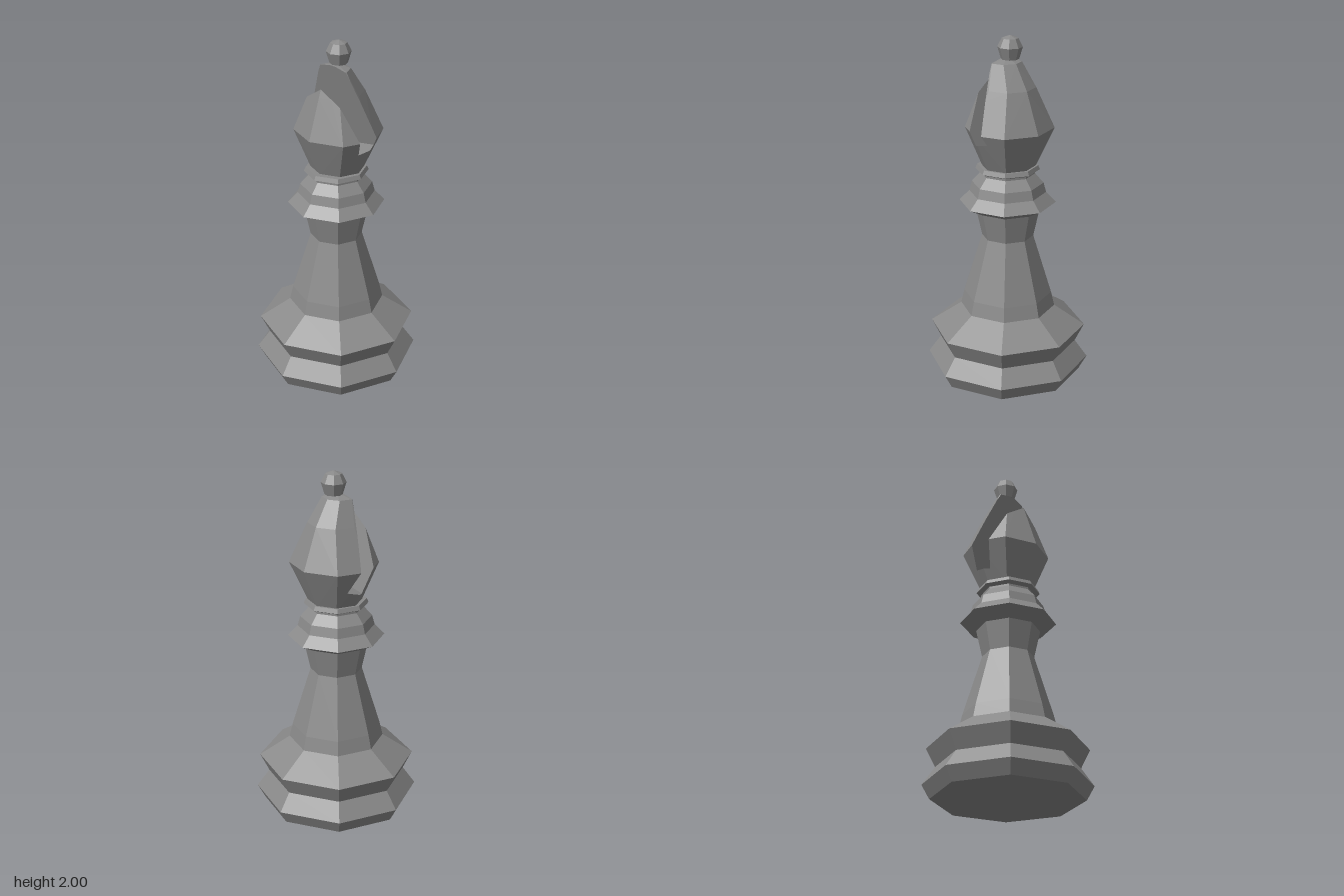
import * as THREE from 'three';
import { ConvexGeometry } from 'three/addons/geometries/ConvexGeometry.js';

const material = new THREE.MeshStandardMaterial({ color: 0x898989, flatShading: true });

function addMesh(group, name, geometry) {
  const mesh = new THREE.Mesh(geometry, material);
  mesh.name = name;
  group.add(mesh);
  return mesh;
}

// Eight-sided turned part from [radius, height] pairs
function turned(profile) {
  return new THREE.LatheGeometry(profile.map(([r, y]) => new THREE.Vector2(r, y)), 8);
}

// Corner points of the convex head: octagonal rings [x radius, z radius, height, centre z]
function headPoints(shoulderZ, topZ) {
  const rings = [
    [0.152, 0.145, 1.25, -0.01], [0.259, 0.239, 1.48, -0.018],
    [0.149, 0.145, 1.71, shoulderZ], [0.094, 0.093, 1.847, topZ],
  ];
  const points = [new THREE.Vector3(0, 1.872, topZ - 0.02)];
  for (const [rx, rz, y, z] of rings) {
    for (let i = 0; i < 8; i++) {
      const a = (i * Math.PI) / 4;
      points.push(new THREE.Vector3(rx * Math.sin(a), y, z + rz * Math.cos(a)));
    }
  }
  return points;
}

// Corner points of a convex solid's part on the positive side of a plane
function clip(points, plane) {
  const result = points.filter((p) => plane.distanceToPoint(p) >= 0);
  for (let i = 0; i < points.length; i++) {
    for (let j = 0; j < i; j++) {
      const a = plane.distanceToPoint(points[i]);
      const b = plane.distanceToPoint(points[j]);
      if (a * b < 0) result.push(points[i].clone().lerp(points[j], a / (a - b)));
    }
  }
  // Keep only the corners of the hull
  const pos = new ConvexGeometry(result).getAttribute('position');
  const unique = new Map();
  for (let i = 0; i < pos.count; i++) {
    const p = new THREE.Vector3().fromBufferAttribute(pos, i);
    unique.set(p.toArray().map((v) => v.toFixed(5)).join(), p);
  }
  return [...unique.values()];
}

function planeOf(x, y, z, through) {
  return new THREE.Plane().setFromNormalAndCoplanarPoint(
    new THREE.Vector3(x, y, z).normalize(), new THREE.Vector3(...through));
}

export function createModel() {
  const group = new THREE.Group();
  group.name = 'chessBishop';

  // Stepped foot
  addMesh(group, 'base', turned([
    [0, 0], [0.423, 0], [0.467, 0.08], [0.396, 0.18], [0.448, 0.285], [0.272, 0.403], [0, 0.403],
  ]));

  // Tapering column
  addMesh(group, 'stem', turned([
    [0.272, 0.403], [0.253, 0.485], [0.147, 0.835], [0.182, 0.995],
  ]));

  // Flared collar and neck rings
  addMesh(group, 'collar', turned([
    [0.182, 0.995], [0.274, 1.042], [0.218, 1.1], [0.203, 1.155], [0.155, 1.21],
    [0.155, 1.222], [0.182, 1.234], [0.172, 1.258], [0, 1.262],
  ]));

  // Head split by a slanted slot: back part, front lip and the floor between
  const frontCut = planeOf(0, -0.233, 0.972, [0, 1.4, 0.04]);
  const rearCut = planeOf(0, 0.233, -0.972, [0, 1.425, -0.073]);
  const floorCut = planeOf(0.2, -0.972, -0.233, [0.21, 1.4, 0.04]);
  const head = new THREE.Group();
  head.name = 'head';
  group.add(head);
  const leaning = headPoints(-0.016, 0.022);
  const upright = headPoints(-0.004, 0);
  addMesh(head, 'headBack', new ConvexGeometry(clip(leaning, rearCut)));
  addMesh(head, 'headFront', new ConvexGeometry(clip(upright, frontCut)));
  const middle = [floorCut, frontCut.clone().negate(), rearCut.clone().negate()].reduce(clip, upright);
  addMesh(head, 'slotFloor', new ConvexGeometry(middle));

  // Small knob on top
  const finial = addMesh(group, 'finial', turned([
    [0, 1.86], [0.05, 1.868], [0.07, 1.935], [0.046, 1.983], [0, 2.0],
  ]));
  finial.position.z = -0.02;

  return group;
}
